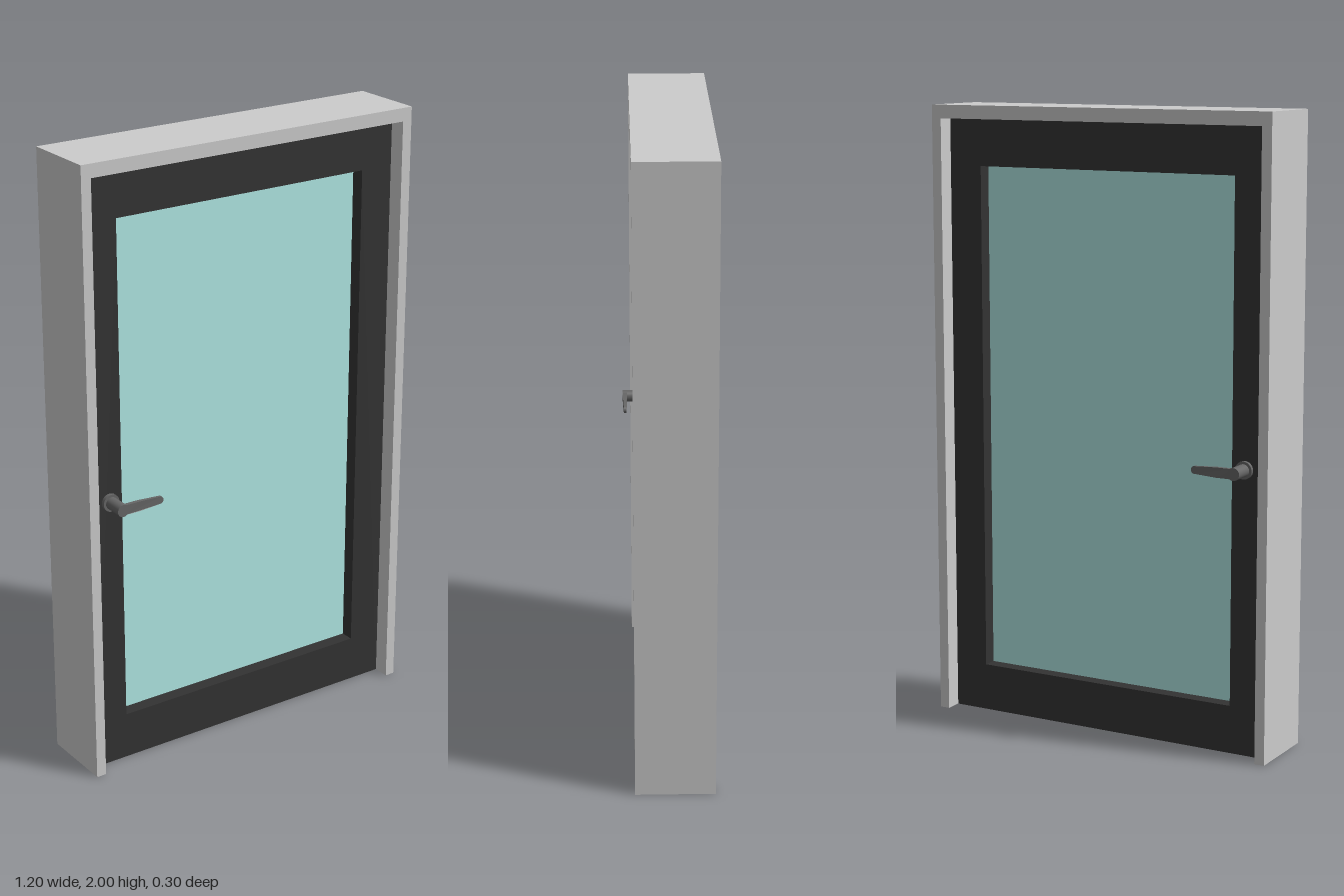
import * as THREE from 'three';

const material = (color) => new THREE.MeshStandardMaterial({ color });

// Closed rectangle path from corner to corner
function rect(path, x0, y0, x1, y1) {
  path.moveTo(x0, y0);
  path.lineTo(x1, y0);
  path.lineTo(x1, y1);
  path.lineTo(x0, y1);
  path.closePath();
  return path;
}

// Extrude a shape centred on z = 0
function slab(name, shape, depth, mat) {
  const geo = new THREE.ExtrudeGeometry(shape, { depth, bevelEnabled: false, curveSegments: 12 });
  geo.translate(0, 0, -depth / 2);
  const mesh = new THREE.Mesh(geo, mat);
  mesh.name = name;
  return mesh;
}

// Lever handle, with its base on z = 0 and pointing along +x
function makeHandle(name, mat) {
  const handle = new THREE.Group();
  handle.name = name;
  const add = (part, geo) => {
    const mesh = new THREE.Mesh(geo, mat);
    mesh.name = part;
    handle.add(mesh);
  };

  // Round plate against the door
  add('rose', new THREE.CylinderGeometry(0.028, 0.028, 0.012, 32).rotateX(Math.PI / 2).translate(0, 0, 0.006));
  // Spindle
  add('spindle', new THREE.CylinderGeometry(0.02, 0.02, 0.081, 32).rotateX(Math.PI / 2).translate(0, 0, 0.0405));

  // Tapered grip with a rounded tip
  const grip = new THREE.Shape();
  grip.moveTo(0, -0.016);
  grip.lineTo(0.06, -0.016);
  grip.lineTo(0.134, -0.012);
  grip.absarc(0.134, 0, 0.012, -Math.PI / 2, Math.PI / 2, false);
  grip.lineTo(0.06, 0.016);
  grip.lineTo(0, 0.016);
  grip.closePath();
  const geo = new THREE.ExtrudeGeometry(grip, { depth: 0.013, bevelEnabled: false, curveSegments: 12 });
  // Thin the grip towards its tip
  const p = geo.attributes.position;
  for (let i = 0; i < p.count; i++) {
    const t = Math.max(0, (p.getX(i) - 0.06) / 0.086);
    p.setZ(i, 0.0065 + (p.getZ(i) - 0.0065) * (1 - 0.4 * t));
  }
  geo.computeVertexNormals();
  add('lever', geo.translate(0, 0, 0.067));
  return handle;
}

export function createModel() {
  const model = new THREE.Group();
  model.name = 'glazedDoor';
  const dark = material(0x333333);
  const metal = material(0x666666);

  // Outer frame: two jambs and a header, open at the floor
  const outline = new THREE.Shape();
  [[-0.6, 0], [-0.567, 0], [-0.567, 1.957], [0.567, 1.957], [0.567, 0], [0.6, 0], [0.6, 2], [-0.6, 2]]
    .forEach(([x, y], i) => (i ? outline.lineTo(x, y) : outline.moveTo(x, y)));
  outline.closePath();
  model.add(slab('doorFrame', outline, 0.25, material(0xcccccc)));

  // Door leaf with a window opening
  const leaf = rect(new THREE.Shape(), -0.567, 0, 0.567, 1.957);
  leaf.holes.push(rect(new THREE.Path(), -0.453, 0.154, 0.453, 1.806));
  model.add(slab('doorLeaf', leaf, 0.14, dark));

  // Glass pane
  const pane = rect(new THREE.Shape(), -0.453, 0.154, 0.453, 1.806);
  model.add(slab('glassPane', pane, 0.05, material(0xb0e8e5)));

  // Handles on both faces
  const front = makeHandle('frontHandle', metal);
  front.position.set(-0.497, 0.912, 0.07);
  model.add(front);
  const back = makeHandle('backHandle', metal);
  back.position.set(-0.497, 0.912, -0.07);
  back.rotation.set(Math.PI, 0, 0);
  model.add(back);

  return model;
}
